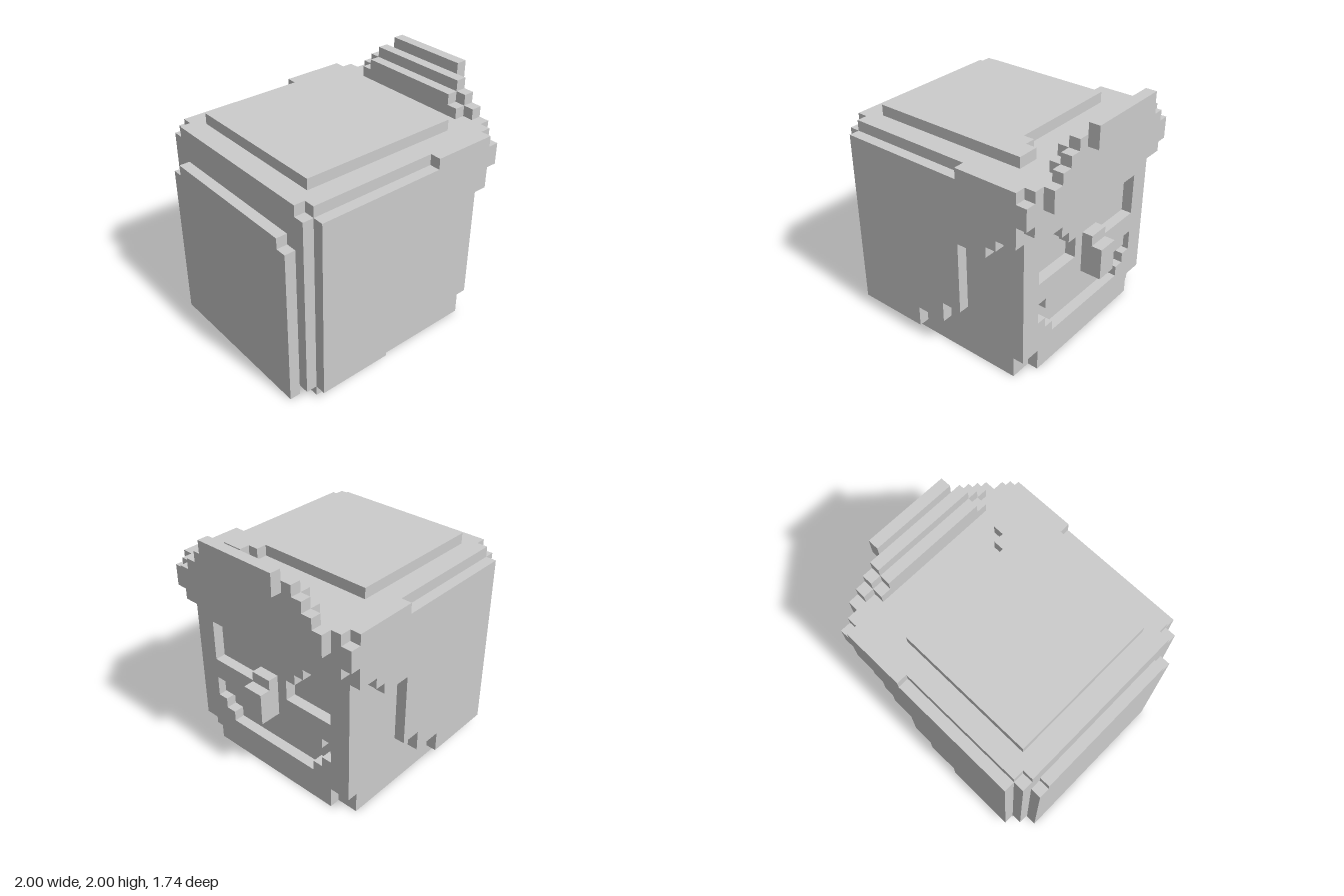
import * as THREE from 'three';

const U = 2 / 23; // edge of one block; all sizes below count blocks

export function createModel() {
  const group = new THREE.Group();
  const material = new THREE.MeshStandardMaterial({ color: 0xcccccc, flatShading: true });

  // x runs 0..23 from back of the head to the crest, y is up, z is centred
  const add = (name, geometry) => {
    geometry.translate(-11.5, 0, 0).scale(U, U, U);
    const mesh = new THREE.Mesh(geometry, material);
    mesh.name = name;
    group.add(mesh);
  };
  const box = (name, x0, x1, y0, y1, z0, z1) =>
    add(name, new THREE.BoxGeometry(x1 - x0, y1 - y0, z1 - z0)
      .translate((x0 + x1) / 2, (y0 + y1) / 2, (z0 + z1) / 2));
  const wide = (name, x0, x1, y0, y1, half) => box(name, x0, x1, y0, y1, -half, half);
  const points = (list) => list.map(([a, b]) => new THREE.Vector2(a, b));
  const extrude = (list, holes = []) => {
    const shape = new THREE.Shape(points(list));
    holes.forEach((h) => shape.holes.push(new THREE.Path(points(h))));
    return new THREE.ExtrudeGeometry(shape, { depth: 1, bevelEnabled: false });
  };

  // Head core
  wide('headCore', 2, 19, 0, 19, 9);

  // Face layer with eye and mouth openings and notched chin corners
  const eye = (s) => [[7, 9], [7, 13], [4, 13], [4, 12], [3, 12], [3, 11], [2, 11], [2, 9]]
    .map(([z, y]) => [s * z, y]);
  const mouthHalf = [[5, 3], [5, 4], [6, 4], [6, 5], [7, 5], [7, 7], [6, 7], [6, 6]];
  const mouth = [...mouthHalf, ...mouthHalf.map(([z, y]) => [-z, y]).reverse()];
  const face = [[-7, 0], [7, 0], [7, 2], [9, 2], [9, 19], [-9, 19], [-9, 2], [-7, 2]];
  add('face', extrude(face, [eye(1), eye(-1), mouth])
    .rotateY(Math.PI / 2).translate(19, 0, 0));

  // Nose
  wide('noseBase', 20, 21, 7, 11, 1);
  wide('noseTip', 21, 22, 7, 10, 1);

  // Stepped hair panels on both sides
  const side = [[2, 1], [9, 1], [9, 3], [12, 3], [12, 5], [14, 5], [14, 12], [17, 12],
    [17, 13], [18, 13], [18, 14], [20, 14], [20, 19], [14, 19], [14, 18], [2, 18]];
  add('leftHair', extrude(side).translate(0, 0, 9));
  add('rightHair', extrude(side).translate(0, 0, -10));

  // Back hair layers
  wide('backHair', 1, 2, 1, 18, 9);
  wide('backHairTop', 1, 2, 18, 19, 8);
  wide('backPanel', 0, 1, 0, 15, 8);
  wide('backPanelTop', 0, 1, 15, 16, 7);

  // Raised plate on the crown
  const crown = [[3, -7], [18, -7], [18, -5], [17, -5], [17, -4], [16, -4], [16, 7], [3, 7]];
  add('crownPlate', extrude(crown).rotateX(-Math.PI / 2).translate(0, 19, 0));

  // Fringe over the brow
  wide('fringeLower', 20, 21, 15, 16, 9);
  wide('fringeMiddle', 20, 21, 16, 18, 10);
  wide('fringeUpper', 20, 21, 18, 19, 9);
  wide('fringeFront', 21, 22, 17, 19, 8);

  // Crest rising in steps
  [[20, 19, 20, 6], [20, 20, 21, 5], [21, 19, 20, 7], [21, 20, 21, 6], [21, 21, 22, 5], [22, 21, 23, 4]]
    .forEach(([x, y0, y1, half]) => wide('crestStep', x, x + 1, y0, y1, half));

  return group;
}
